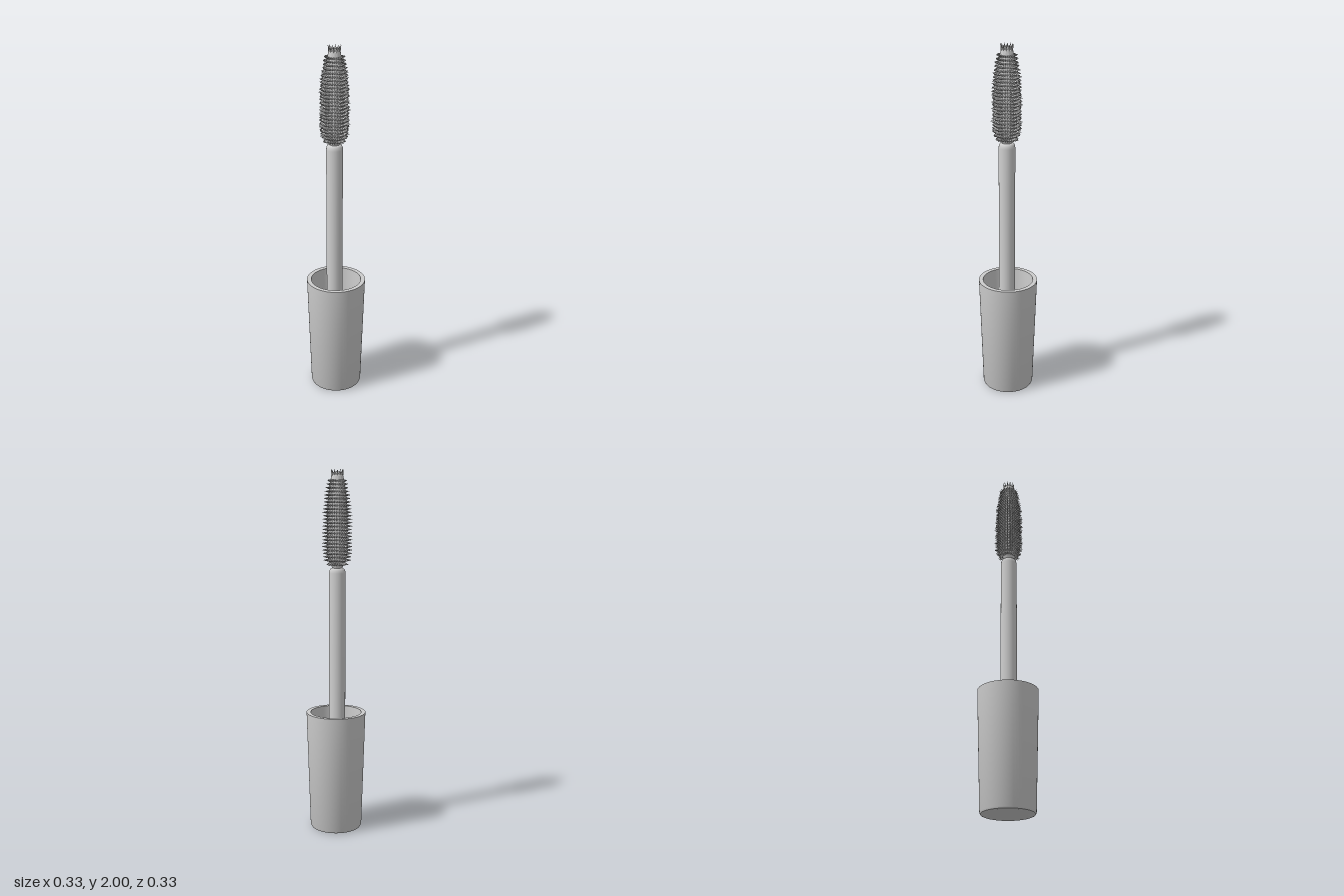
import * as THREE from 'three';
import { mergeGeometries, toCreasedNormals } from 'three/addons/utils/BufferGeometryUtils.js';

const pts = (list) => list.map(([x, y]) => new THREE.Vector2(x, y));

// Small seeded generator for the slight unevenness of the bristles
function seeded(seed) {
  return () => {
    seed = (seed * 16807) % 2147483647;
    return seed / 2147483647;
  };
}

function lathe(list, sides, crease = 0.6) {
  return toCreasedNormals(new THREE.LatheGeometry(pts(list), sides), crease);
}

// Outer bristle radius at each height
const envelope = [
  [1.485, 0.05], [1.505, 0.073], [1.55, 0.083], [1.75, 0.082],
  [1.84, 0.075], [1.91, 0.062], [1.96, 0.052], [2.0, 0.04],
];
function envelopeRadius(y) {
  for (let i = 1; i < envelope.length; i++) {
    const [y0, r0] = envelope[i - 1];
    const [y1, r1] = envelope[i];
    if (y <= y1) return r0 + (r1 - r0) * Math.max(0, (y - y0) / (y1 - y0));
  }
  return envelope[envelope.length - 1][1];
}

// One bristle: a four-sided spike pointing outwards from the core
function bristle(angle, y, inner, outer, tilt, width) {
  const length = outer - inner;
  const g = new THREE.ConeGeometry(1, length, 4, 1, true);
  g.translate(0, length / 2, 0);
  g.scale(0.008, 1, width);
  g.rotateZ(-Math.PI / 2 + tilt);
  g.translate(inner, y, 0);
  g.rotateY(angle);
  return g;
}

export function createModel() {
  const model = new THREE.Group();
  const grey = new THREE.MeshStandardMaterial({ color: 0xcccccc });
  grey.name = 'light grey plastic';

  const add = (name, geometry, parent) => {
    const mesh = new THREE.Mesh(geometry, grey);
    mesh.name = name;
    parent.add(mesh);
    return mesh;
  };

  // Hollow tapered cap that serves as the handle
  add('cap', lathe([
    [0, 0], [0.134, 0], [0.141, 0.003], [0.145, 0.012],
    [0.165, 0.668], [0.141, 0.668], [0.125, 0.04], [0, 0.04],
  ], 64), model);

  // Wand stands slightly off the centre of the cap
  const wand = new THREE.Group();
  wand.name = 'wand';
  wand.position.set(-0.009, 0, -0.003);
  model.add(wand);

  // Stem with a rounded shoulder
  add('stem', lathe([
    [0.045, 0.03], [0.045, 1.445], [0.043, 1.46], [0.037, 1.469],
    [0.028, 1.473], [0, 1.474],
  ], 24), wand);

  // Brush core with a faceted tip
  const core = new THREE.LatheGeometry(pts([
    [0.026, 1.465], [0.032, 1.487], [0.05, 1.515], [0.056, 1.56], [0.056, 1.75],
    [0.05, 1.85], [0.041, 1.92], [0.032, 1.965], [0.018, 1.985], [0, 1.978],
  ]), 14);
  add('brushCore', toCreasedNormals(core, 0.3), wand);

  // Bristles in stacked rings, aligned in columns
  const random = seeded(17);
  const spikes = [];
  const columns = 28;
  const rings = 25;
  for (let ring = 0; ring < rings; ring++) {
    const y = 1.497 + ring * 0.0183;
    const reach = envelopeRadius(y);
    const inner = reach * 0.62;
    const tilt = y > 1.87 ? (y - 1.87) * 4 : y < 1.51 ? -0.35 : 0;
    for (let i = 0; i < columns; i++) {
      const angle = (i + (random() - 0.5) * 0.15) / columns * Math.PI * 2;
      const outer = reach * (0.94 + 0.1 * random());
      spikes.push(bristle(angle, y, inner, outer, tilt, inner * 0.12));
    }
  }
  // Short steep bristles around the tip
  for (let i = 0; i < 12; i++) {
    const angle = (i / 12) * Math.PI * 2;
    spikes.push(bristle(angle, 1.967, 0.024, 0.024 + 0.034, 1.25, 0.006));
  }
  const bristles = mergeGeometries(spikes).toNonIndexed();
  bristles.computeVertexNormals();
  add('bristles', bristles, wand);

  return model;
}
